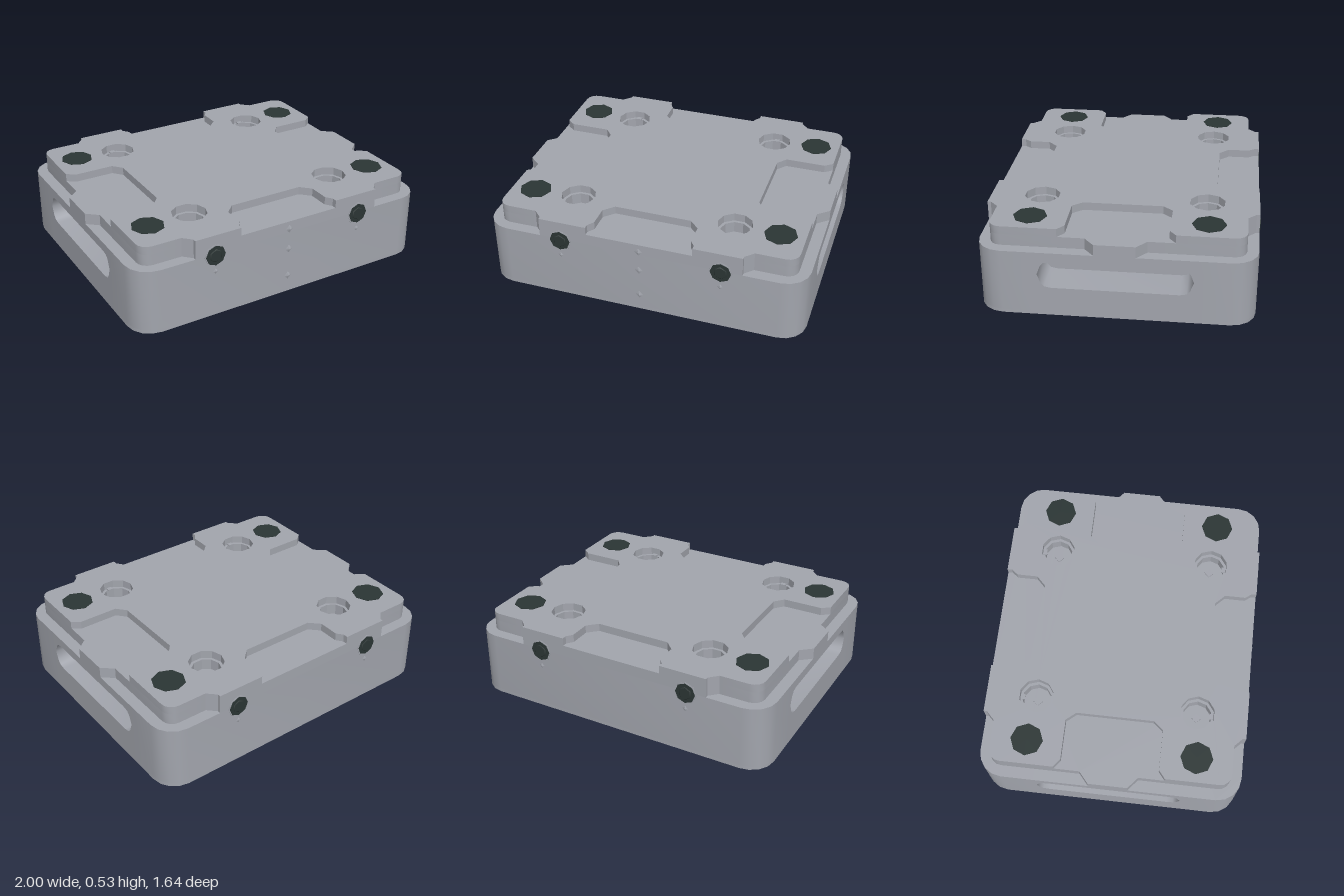
import * as THREE from 'three';
import { toCreasedNormals } from 'three/addons/utils/BufferGeometryUtils.js';

const steel = new THREE.MeshStandardMaterial({ color: 0xa2a5ad });
steel.name = 'steel grey';
const black = new THREE.MeshStandardMaterial({ color: 0x2b3534 });
black.name = 'black oxide';

const SIGNS = [[1, 1], [-1, 1], [-1, -1], [1, -1]];

// Quarter arc of a rounded corner, from +x round to +z
function corner(x, z, r, n = 4) {
  return Array.from({ length: n + 1 }, (_, i) => {
    const a = (i / n) * Math.PI / 2;
    return [x - r + r * Math.cos(a), z - r + r * Math.sin(a)];
  });
}

// Mirrors one quadrant of an outline into a closed shape
function mirrored(quadrant) {
  const pts = SIGNS.flatMap(([sx, sz]) => {
    const q = quadrant.map(([x, z]) => new THREE.Vector2(x * sx, z * sz));
    return sx * sz > 0 ? q : q.reverse();
  });
  return new THREE.Shape(pts);
}

function ring(x, z, r, n) {
  return new THREE.Path(Array.from({ length: n }, (_, i) => {
    const a = (i / n) * Math.PI * 2;
    return new THREE.Vector2(x + r * Math.cos(a), z + r * Math.sin(a));
  }));
}

const fourHoles = (x, z, r, n) => SIGNS.map(([sx, sz]) => ring(x * sx, z * sz, r, n));

function extrude(shape, depth) {
  return new THREE.ExtrudeGeometry(shape, { depth, bevelEnabled: false });
}

export function createModel() {
  const model = new THREE.Group();
  const add = (name, geometry, material = steel) => {
    const mesh = new THREE.Mesh(geometry, material);
    mesh.name = name;
    model.add(mesh);
    return mesh;
  };

  // Horizontal layer between two heights
  const layer = (name, quadrant, holes, y0, y1) => {
    const shape = mirrored(quadrant);
    shape.holes.push(...holes);
    const geo = extrude(shape, y1 - y0).rotateX(-Math.PI / 2).translate(0, y0, 0);
    add(name, toCreasedNormals(geo, 0.5));
  };

  // Base block, notched at the sides for the slot panels
  const base = [[0.78, 0.46], [1, 0.46], ...corner(1, 0.81, 0.15)];
  const boltHoles = () => fourHoles(0.78, 0.52, 0.05, 12);
  layer('baseRim', base, [...boltHoles(), ring(0, 0, 0.77, 20)], 0, 0.02);
  layer('baseBlock', base, boltHoles(), 0.02, 0.41);

  // Lower step with side tabs, and top plate with four edge pockets
  const cornerNotch = [...corner(0.93, 0.74, 0.07), [0.68, 0.74], [0.63, 0.79], [0.63, 0.81]];
  layer('lowerStep', [[1, 0.12], [0.93, 0.18], ...cornerNotch],
    fourHoles(0.5, 0.5, 0.09, 10), 0.41, 0.48);
  layer('topPlate', [
    [0.58, 0.24], [0.63, 0.30], [0.88, 0.30], [0.93, 0.34], ...cornerNotch,
    [0.33, 0.81], [0.33, 0.78], [0.30, 0.74], [0.30, 0.61], [0.24, 0.55],
  ], fourHoles(0.5, 0.5, 0.108, 10), 0.48, 0.53);

  // Side panels with a long grip slot
  for (const s of [1, -1]) {
    const panel = new THREE.Shape([[-0.46, 0], [0.46, 0], [0.46, 0.41], [-0.46, 0.41]]
      .map(p => new THREE.Vector2(...p)));
    const slot = [[0.45, 0], [0.43, 0.055], [0.41, 0.077], [0.37, 0.085]];
    panel.holes.push(new THREE.Path(mirrored(slot).getPoints()
      .map(p => new THREE.Vector2(p.x, p.y + 0.268))));
    const geo = extrude(panel, 0.22).translate(0, 0, 0.78).rotateY(s * Math.PI / 2);
    add(s > 0 ? 'leftSlotPanel' : 'rightSlotPanel', toCreasedNormals(geo, 0.75));
  }

  for (const [sx, sz] of SIGNS) {
    // Flush black caps over the corner bolts
    add('boltCap', new THREE.CylinderGeometry(0.1, 0.1, 0.008, 8)
      .translate(0.78 * sx, 0.529, 0.52 * sz), black);

    // Small stud and key inside each round socket
    add('socketStud', new THREE.CylinderGeometry(0.03, 0.03, 0.008, 4)
      .translate(0.5 * sx, 0.413, 0.5 * sz));
    add('socketKey', new THREE.BoxGeometry(0.035, 0.008, 0.03)
      .translate(0.5 * sx, 0.484, 0.59 * sz));

    // Plug screw on the front and back, with a raised hexagon and a small pin
    const facing = (geo, x, y, z) => geo.rotateX(sz * Math.PI / 2).translate(x, y, z * sz);
    add('plugSurround', facing(new THREE.CylinderGeometry(0.072, 0.072, 0.006, 8),
      0.5 * sx, 0.4, 0.81));
    add('plugScrew', facing(new THREE.CylinderGeometry(0.064, 0.064, 0.008, 8),
      0.5 * sx, 0.4, 0.811), black);
    add('plugHexagon', facing(new THREE.CylinderGeometry(0.038, 0.045, 0.006, 6),
      0.5 * sx, 0.4, 0.816), black);
    add('ventPin', facing(new THREE.ConeGeometry(0.02, 0.008, 4).toNonIndexed(),
      0.5 * sx, 0.295, 0.813));
  }

  // Column of small marker pins on the front
  for (const y of [0.11, 0.295, 0.43]) {
    add('markerPin', new THREE.ConeGeometry(0.027, 0.009, 4)
      .rotateX(Math.PI / 2).translate(0, y, 0.814));
  }

  // Round cover underneath with its circle of screws
  add('bottomCover', new THREE.CylinderGeometry(0.77, 0.77, 0.016, 20)
    .rotateY(Math.PI / 2).translate(0, 0.012, 0), black);
  for (let i = 0; i < 12; i++) {
    const a = ((i + 0.5) / 12) * Math.PI * 2;
    add('coverScrew', new THREE.CylinderGeometry(0.038, 0.026, 0.006, 6)
      .translate(0.71 * Math.cos(a), 0.003, 0.71 * Math.sin(a)), black);
  }

  return model;
}
